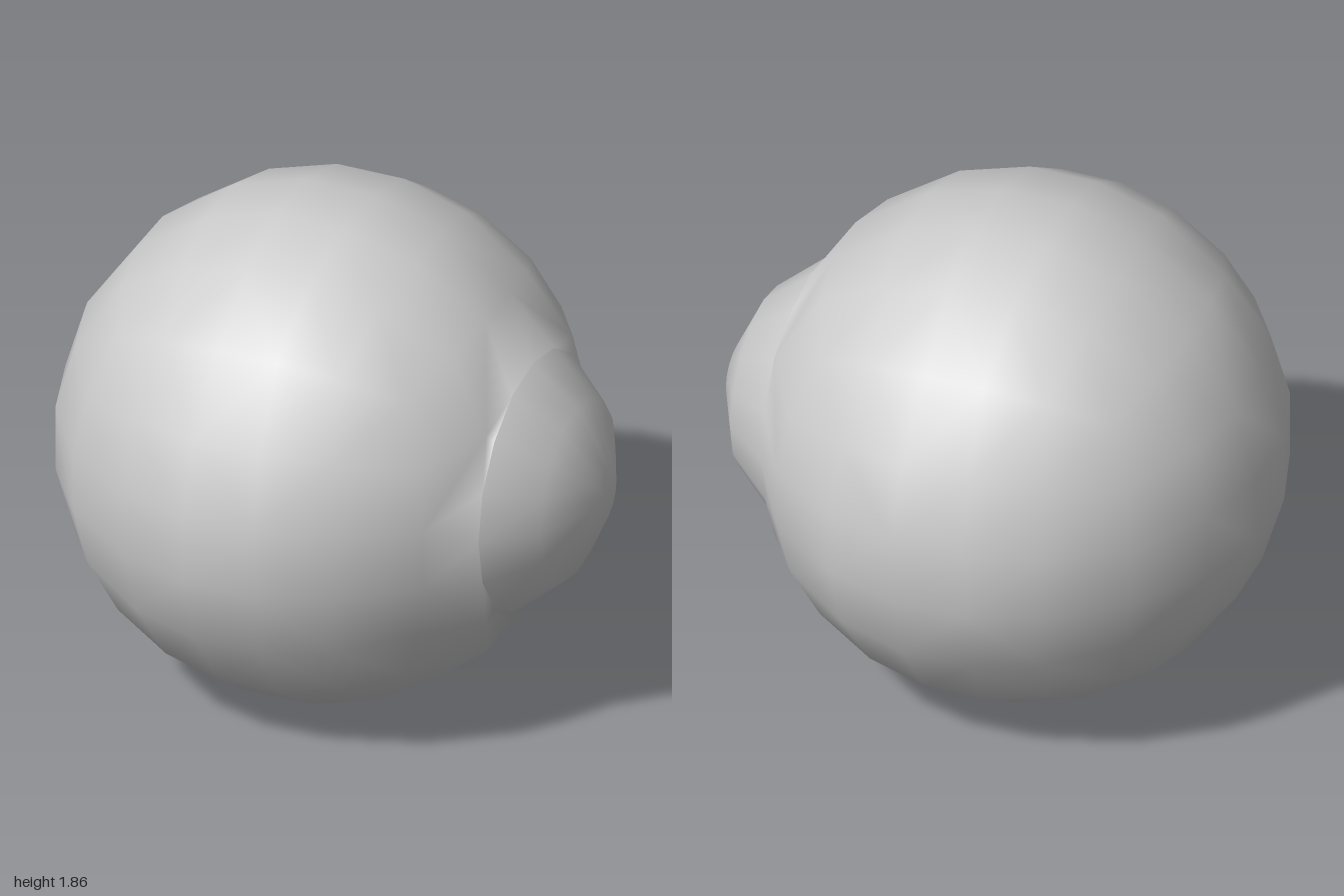
import * as THREE from 'three';
import { ConvexGeometry } from 'three/addons/geometries/ConvexGeometry.js';
import { mergeVertices } from 'three/addons/utils/BufferGeometryUtils.js';

const R = 0.948, CX = -0.067, CY = 0.93; // ball radius and centre
const RIM_X = 0.73, RIM_R = 0.475, SIDES = 16; // round opening on the +x side
const SEG = 5;

// Cube point mapped evenly onto the ball
function onBall(x, y, z) {
  const f = (a, b, c) => a * Math.sqrt(1 - b * b / 2 - c * c / 2 + b * b * c * c / 3);
  return new THREE.Vector3(f(x, y, z), f(y, z, x), f(z, x, y)).multiplyScalar(R).add(new THREE.Vector3(CX, CY, 0));
}

function rimPoint(i, x) {
  const a = ((i % SIDES) / SIDES) * Math.PI * 2;
  return new THREE.Vector3(x, CY + RIM_R * Math.cos(a), RIM_R * Math.sin(a));
}

function ballGeometry() {
  // Points of a rounded cube, without those inside the opening
  const points = [];
  for (let i = 0; i <= SEG; i++)
    for (let j = 0; j <= SEG; j++)
      for (let k = 0; k <= SEG; k++) {
        const c = [i, j, k].map((n) => (2 * n) / SEG - 1);
        if (!c.some((v) => Math.abs(v) === 1)) continue;
        const p = onBall(...c);
        if (p.x > 0 && Math.hypot(p.y - CY, p.z) < 0.5) continue;
        points.push(p);
      }
  for (let i = 0; i < SIDES; i++) points.push(rimPoint(i, RIM_X));

  // Skin the points, leaving the opening free
  const hull = new ConvexGeometry(points).getAttribute('position');
  const out = [];
  const add = (...tri) => tri.forEach((p) => out.push(p.x, p.y, p.z));
  for (let t = 0; t < hull.count; t += 3) {
    const tri = [0, 1, 2].map((n) => new THREE.Vector3().fromBufferAttribute(hull, t + n));
    if (!tri.every((p) => p.x > RIM_X - 0.001)) add(...tri);
  }

  // Socket wall behind the rim, facing the axis
  for (let i = 0; i < SIDES; i++) {
    const a = rimPoint(i, RIM_X), b = rimPoint(i + 1, RIM_X);
    const c = rimPoint(i, RIM_X - 0.18), d = rimPoint(i + 1, RIM_X - 0.18);
    add(a, c, b, b, c, d);
  }
  const geo = new THREE.BufferGeometry();
  geo.setAttribute('position', new THREE.Float32BufferAttribute(out, 3));
  const merged = mergeVertices(geo, 1e-4);
  merged.computeVertexNormals();
  return merged;
}

export function createModel() {
  const group = new THREE.Group();
  const material = new THREE.MeshStandardMaterial({ color: 0xcccccc, side: THREE.DoubleSide });

  const ball = new THREE.Mesh(ballGeometry(), material);
  ball.name = 'eyeball';

  // Domed lens filling the opening
  const profile = [[RIM_R, RIM_X], [0.33, 0.9], [0.11, 1], [0, 1]].map(([r, x]) => new THREE.Vector2(r, x));
  const lens = new THREE.Mesh(new THREE.LatheGeometry(profile, SIDES).rotateZ(-Math.PI / 2), material);
  lens.position.y = CY;
  lens.name = 'cornea';

  group.add(ball, lens);
  return group;
}
